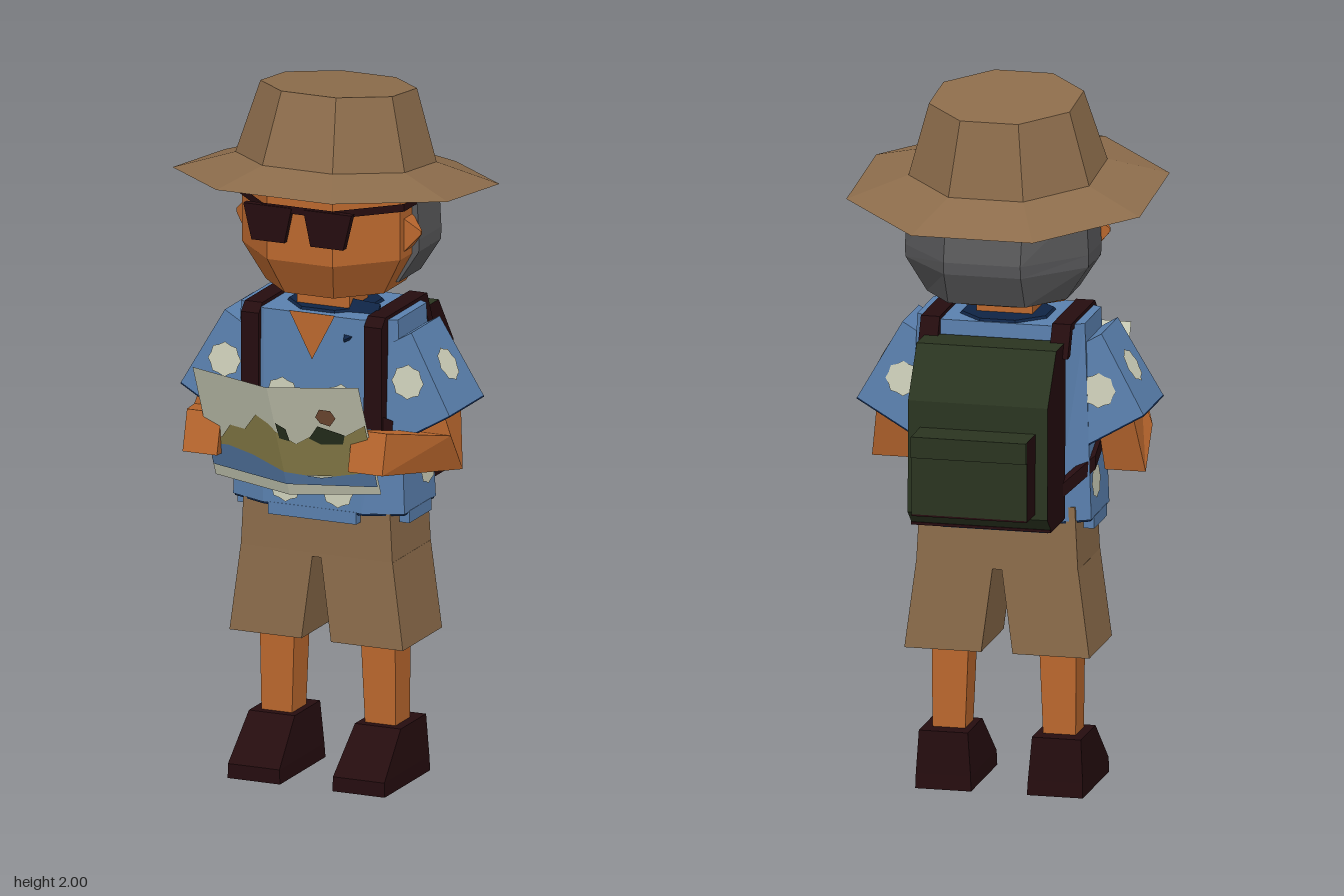
import * as THREE from 'three';

const mat = (name, color) => new THREE.MeshStandardMaterial({ name, color, flatShading: true, side: THREE.DoubleSide });
const M = {
  skin: mat('skin', 0xbb682e), tan: mat('tan cloth', 0x8c6c4b), shirt: mat('blue', 0x5a80ae),
  navy: mat('navy', 0x0f2445), cream: mat('cream', 0xcfd1bb), maroon: mat('dark leather', 0x250c0f),
  green: mat('dark green', 0x2a3420), grey: mat('grey', 0x58585a), olive: mat('olive', 0x968a50),
  brown: mat('brown', 0x7a5038),
};

// Closed solid through rings of [x, y, z] points, turned outward by its signed volume
function loft(rings) {
  const tris = [], n = rings[0].length;
  for (let i = 0; i < rings.length - 1; i++) {
    for (let j = 0; j < n; j++) {
      const k = (j + 1) % n, a = rings[i], b = rings[i + 1];
      tris.push([a[j], a[k], b[k]], [a[j], b[k], b[j]]);
    }
  }
  const first = rings[0], last = rings[rings.length - 1];
  for (let j = 1; j < n - 1; j++) tris.push([first[0], first[j + 1], first[j]], [last[0], last[j], last[j + 1]]);
  const c = new THREE.Vector3(...first[0]);
  let volume = 0;
  for (const t of tris) {
    const [p, q, r] = t.map(v => new THREE.Vector3(...v).sub(c));
    volume += p.dot(q.cross(r));
  }
  if (volume < 0) tris.forEach(t => t.reverse());
  const g = new THREE.BufferGeometry();
  g.setAttribute('position', new THREE.Float32BufferAttribute(tris.flat(2), 3));
  g.computeVertexNormals();
  return g;
}

// Rectangle ring at height y
const rect = (y, x0, x1, z0, z1) => [[x0, y, z0], [x1, y, z0], [x1, y, z1], [x0, y, z1]];
// Symmetric ring from half-outline [x, z] points running front to back
const symRing = (y, half) => [...half.map(([x, z]) => [x, y, z]), ...half.slice().reverse().map(([x, z]) => [-x, y, z])];
const polygon = pts => new THREE.Shape(pts.map(p => new THREE.Vector2(...p)));

// Side outline of [z, y] points given a width along x
function sideExtrude(pts, half, x = 0) {
  const g = new THREE.ExtrudeGeometry(polygon(pts), { depth: half * 2, bevelEnabled: false });
  return g.rotateY(-Math.PI / 2).translate(x + half, 0, 0);
}

export function createModel() {
  const root = new THREE.Group();
  const add = (name, geometry, material) => {
    const mesh = new THREE.Mesh(geometry, material);
    mesh.name = name;
    root.add(mesh);
    return mesh;
  };
  const box = (name, m, w, h, d, x, y, z) => add(name, new THREE.BoxGeometry(w, h, d).translate(x, y, z), m);
  const lathe8 = pts => new THREE.LatheGeometry(pts.map(p => new THREE.Vector2(...p)), 8, Math.PI / 8);

  // Hat: eight-sided, leaning down at the back
  const hat = lathe8([[0.455, 1.72], [0.28, 1.775], [0.218, 1.98], [0, 1.98]]);
  const hp = hat.attributes.position;
  for (let i = 0; i < hp.count; i++) {
    const y = hp.getY(i), z = hp.getZ(i);
    hp.setXYZ(i, hp.getX(i), y + 0.113 * z, z - (y > 1.9 ? 0.018 : 0));
  }
  hat.computeVertexNormals();
  add('hat', hat, M.tan);

  // Head, hair and neck
  add('head', lathe8([[0, 1.42], [0.195, 1.42], [0.262, 1.53], [0.262, 1.78], [0, 1.78]]), M.skin);
  const hairRing = (y, w, b) => symRing(y, [[w, 0.02], [w, -0.13], [0.11, b]]);
  add('hair', loft([hairRing(1.44, 0.2, -0.25), hairRing(1.535, 0.262, -0.3), hairRing(1.57, 0.263, -0.305), hairRing(1.72, 0.255, -0.272)]), M.grey);
  box('neck', M.skin, 0.16, 0.14, 0.125, 0, 1.38, 0.022);

  // Sunglasses: band around the face with two lenses
  add('glassesBand', new THREE.CylinderGeometry(0.278, 0.278, 0.022, 5, 1, true, -Math.PI * 0.625, Math.PI * 1.25).translate(0, 1.685, 0), M.maroon);

  // Shirt body with hem tabs
  const torsoRing = (y, w, f, b) => symRing(y, [[0.15, f], [w, f - 0.045], [w, b + 0.05], [0.17, b]]);
  add('shirtBody', loft([torsoRing(0.8, 0.262, 0.16, -0.145), torsoRing(1.36, 0.24, 0.155, -0.13)]), M.shirt);
  add('shirtLining', loft([torsoRing(0.794, 0.258, 0.156, -0.141), torsoRing(0.799, 0.258, 0.156, -0.141)]), M.navy);
  box('frontHem', M.shirt, 0.27, 0.035, 0.03, 0, 0.785, 0.146);
  box('backHem', M.shirt, 0.3, 0.035, 0.02, 0, 0.785, -0.136);
  add('openNeck', new THREE.ShapeGeometry(polygon([[-0.07, 1.364], [0, 1.23], [0.07, 1.364]])).translate(0, 0, 0.161), M.skin);
  add('collarLining', new THREE.CylinderGeometry(0.13, 0.14, 0.014, 8).rotateY(Math.PI / 8).translate(0, 1.36, 0), M.navy);
  add('collarFlap', loft([[[0.07, 1.39, 0.06], [0.165, 1.385, 0.065], [0.17, 1.33, 0.12], [0.1, 1.3, 0.17]],
    [[0.07, 1.382, 0.055], [0.165, 1.377, 0.06], [0.17, 1.322, 0.115], [0.1, 1.292, 0.165]]]), M.navy);

  // Shorts waist
  add('shortsWaist', loft([rect(0.65, -0.232, 0.232, -0.128, 0.13), rect(0.84, -0.222, 0.222, -0.125, 0.13)]), M.tan);

  // Scalloped flower laid flat on a surface
  const flower = (p, n, r = 0.05) => {
    const g = new THREE.CircleGeometry(r, 16), a = g.attributes.position;
    for (let i = 2; i < a.count; i += 2) a.setXY(i, a.getX(i) * 0.88, a.getY(i) * 0.88);
    const normal = new THREE.Vector3(...n).normalize();
    const f = add('flower', g, M.cream);
    f.position.set(...p).addScaledVector(normal, 0.005);
    f.lookAt(f.position.clone().add(normal));
  };

  // Paired parts
  for (const s of [1, -1]) {
    const side = s > 0 ? 'left' : 'right';
    const mir = rings => loft(rings.map(r => r.map(([x, y, z]) => [s * x, y, z])));

    // Face details
    add(side + 'Ear', mir([rect(0, -1, 1, -1, 1).map(([a, , b]) => [0.235, 1.595 + a * 0.055, 0.045 + b * 0.035]),
      rect(0, -1, 1, -1, 1).map(([a, , b]) => [0.282, 1.6 + a * 0.005, 0.045 + b * 0.004])]), M.skin);
    box(side + 'Eyebrow', M.grey, 0.07, 0.02, 0.02, s * 0.08, 1.73, 0.243);
    const lens = [[0.018, 1.69], [0.165, 1.69], [0.14, 1.587], [0.04, 1.587]];
    add(side + 'Lens', mir([lens.map(([x, y]) => [x, y, 0.238]), lens.map(([x, y]) => [x, y, 0.26])]), M.maroon);

    // Sleeve, open end and bent arm
    const end = [[0.24, 1.01, -0.09], [0.24, 1.01, 0.14], [0.41, 1.11, 0.14], [0.41, 1.11, -0.09]];
    add(side + 'Sleeve', mir([[[0.15, 1.25, -0.07], [0.15, 1.25, 0.12], [0.285, 1.33, 0.12], [0.285, 1.33, -0.07]], end]), M.shirt);
    add(side + 'SleeveLining', mir([end, end.map(([x, y, z]) => [x + 0.002, y - 0.004, z])]), M.navy);
    const armRing = (x0, x1, [za, ya], [zb, yb]) => [[x0, ya, za], [x1, ya, za], [x1, yb, zb], [x0, yb, zb]];
    add(side + 'Arm', mir([armRing(0.26, 0.36, [0.09, 1.13], [-0.045, 1.13]), armRing(0.275, 0.392, [0.09, 1.037], [0.01, 0.92]),
      armRing(0.2, 0.305, [0.33, 1.095], [0.36, 0.98])]), M.skin);

    // Shirt side hem and flowers
    box(side + 'Hem', M.shirt, 0.03, 0.035, 0.15, s * 0.248, 0.785, 0.01);
    flower([s * 0.28, 1.19, 0.129], [-0.033 * s, 0.071, 1]);
    flower([s * 0.28, 1.17, -0.08], [-0.033 * s, 0.071, -1]);
    flower([s * 0.348, 1.22, 0.02], [0.87 * s, 0.494, 0]);
    flower([s * 0.08, 0.86, 0.16], [0, 0, 1]);
    flower([s * 0.09, 1.12, 0.158], [0, 0, 1]);
    flower([s * 0.258, 0.9, -0.04], [s, 0.04, 0]);

    // Backpack strap: over the shoulder, then back beneath the arm
    add(side + 'Strap', sideExtrude([[-0.18, 1.28], [-0.15, 1.28], [-0.12, 1.35], [0.12, 1.35], [0.135, 1.05], [0.168, 1.05],
      [0.165, 1.345], [0.14, 1.37], [-0.14, 1.37]], 0.027, s * 0.188), M.maroon);
    const strapRing = (x, y, z) => [[x - 0.02, y - 0.02, z], [x, y - 0.02, z], [x, y + 0.02, z], [x - 0.02, y + 0.02, z]];
    add(side + 'LowerStrap', mir([strapRing(0.21, 1.07, 0.16), strapRing(0.264, 1.035, 0.11), strapRing(0.268, 0.96, -0.07), strapRing(0.2, 0.9, -0.17)]), M.maroon);

    // Shorts leg, shin and shoe
    add(side + 'ShortsLeg', mir([rect(0.41, 0.045, 0.265, -0.13, 0.133), rect(0.66, 0.012, 0.232, -0.127, 0.13)]), M.tan);
    add(side + 'Shin', mir([rect(0.15, 0.112, 0.205, -0.045, 0.05), rect(0.45, 0.1, 0.207, -0.048, 0.058)]), M.skin);
    add(side + 'Shoe', mir([rect(0, 0.08, 0.24, -0.105, 0.2), rect(0.042, 0.082, 0.239, -0.102, 0.2), rect(0.165, 0.092, 0.232, -0.095, 0.075)]), M.maroon);
  }

  // Backpack: dark sides, green back and top
  const packMats = [M.maroon, M.green];
  add('backpack', sideExtrude([[-0.15, 0.82], [-0.14, 1.32], [-0.25, 1.32], [-0.35, 1.18], [-0.355, 0.86], [-0.31, 0.82]], 0.2), packMats);
  box('backpackBase', M.maroon, 0.4, 0.008, 0.165, 0, 0.818, -0.232);
  add('backpackPocket', sideExtrude([[-0.35, 0.88], [-0.35, 1.105], [-0.45, 1.105], [-0.45, 0.88]], 0.165), packMats);
  box('pocketFlap', M.green, 0.33, 0.06, 0.012, 0, 1.075, -0.456);
  box('pocketBase', M.maroon, 0.33, 0.006, 0.1, 0, 0.878, -0.4);

  // Map: leaning sheet folded along its middle, printed on both faces
  const bend = (g, off = 0) => {
    const a = g.attributes.position;
    for (let i = 0; i < a.count; i++) {
      const x = a.getX(i), y = a.getY(i), f = 1 - Math.abs(x) / 0.253;
      a.setXYZ(i, x, y - 0.014 * f - 0.4 * off, 0.25 + (y - 0.89) * 0.443 + 0.06 * f + 0.9 * off);
    }
    g.computeVertexNormals();
    return g;
  };
  add('map', bend(new THREE.PlaneGeometry(0.506, 0.35, 2, 1).translate(0, 1.067, 0)), M.cream);
  const prints = [
    ['mapHills', M.olive, [[-0.25, 1.0], [-0.2, 1.03], [-0.16, 1.08], [-0.11, 1.08], [-0.06, 1.14], [-0.02, 1.12], [0, 1.1], [0, 0.96], [-0.1, 0.99]]],
    ['mapHills', M.olive, [[0, 1.1], [0.05, 1.06], [0.12, 1.1], [0.18, 1.08], [0.25, 1.12], [0.25, 0.95], [0, 0.96]]],
    ['mapWater', M.shirt, [[-0.25, 1.0], [-0.18, 1.01], [-0.1, 1.0], [0, 0.97], [0, 0.93], [-0.25, 0.93]]],
    ['mapWater', M.shirt, [[0, 0.97], [0.1, 0.95], [0.25, 0.97], [0.25, 0.92], [0, 0.93]]],
    ['mapWoods', M.green, [[0.005, 1.13], [0.03, 1.11], [0.035, 1.07], [0.008, 1.08]]],
    ['mapWoods', M.green, [[0.09, 1.08], [0.12, 1.12], [0.19, 1.09], [0.18, 1.06], [0.12, 1.06]]],
    ['mapMark', M.brown, [[0.12, 1.15], [0.135, 1.175], [0.165, 1.17], [0.175, 1.145], [0.155, 1.12], [0.13, 1.13]]],
  ];
  prints.forEach(([name, m, pts], i) => {
    const layer = 0.003 + 0.0006 * i;
    for (const off of [layer, -layer]) add(name, bend(new THREE.ShapeGeometry(polygon(pts)), off), m);
  });

  return root;
}
